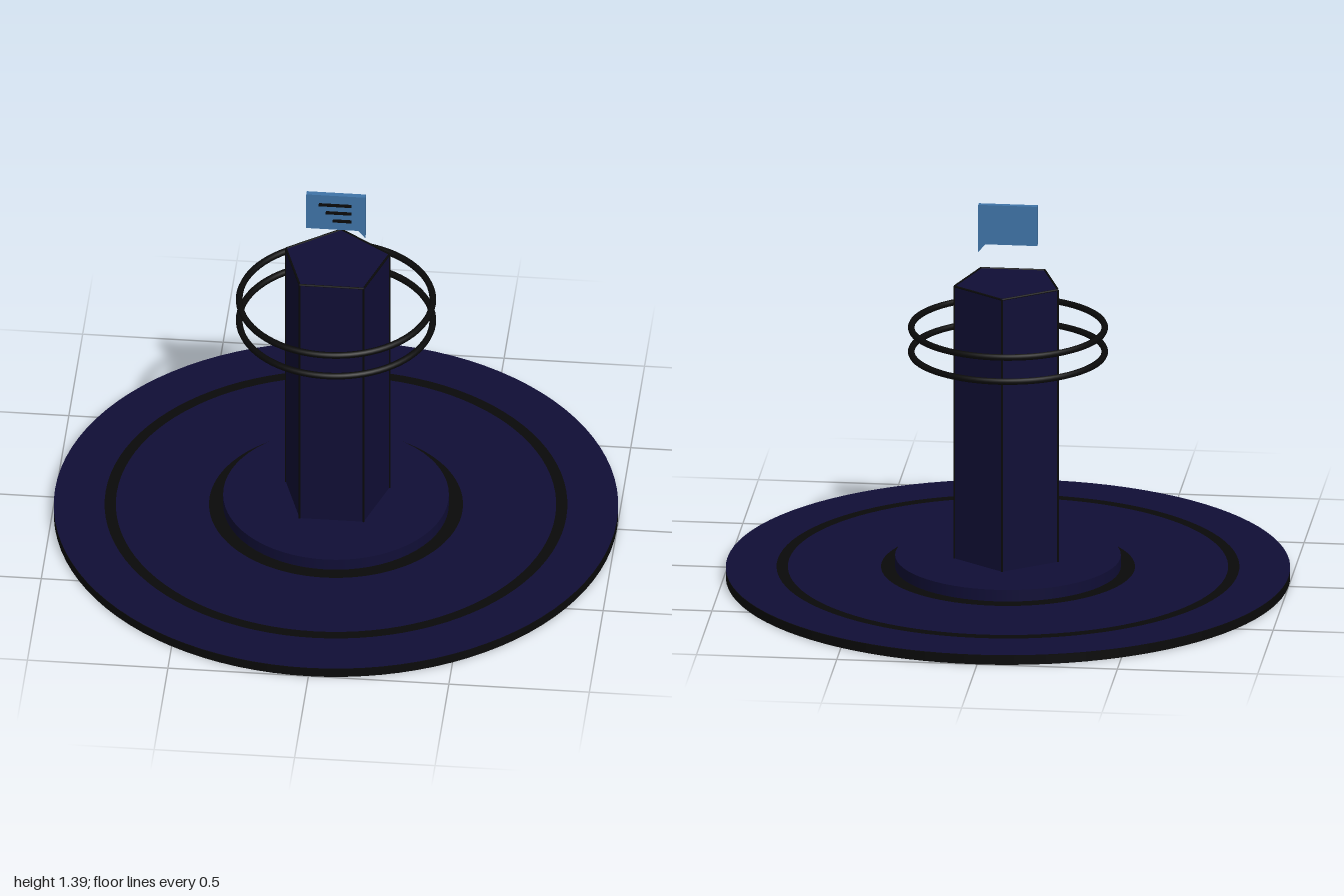
import * as THREE from 'three';

const mat = (color) => new THREE.MeshStandardMaterial({ color });
const navy = mat(0x100e36);
const black = mat(0x0a0a0a);
const blue = mat(0x3f74a8);

export function createModel() {
  const model = new THREE.Group();
  const add = (name, geometry, material, x = 0, y = 0, z = 0) => {
    const mesh = new THREE.Mesh(geometry, material);
    mesh.name = name;
    mesh.position.set(x, y, z);
    model.add(mesh);
    return mesh;
  };

  // Wide base: dark slab with a navy top surface and two inlaid bands
  add('baseSlab', new THREE.CylinderGeometry(1, 1, 0.034, 96), black, 0, 0.017);
  add('baseTop', new THREE.CircleGeometry(1, 96).rotateX(-Math.PI / 2), navy, 0, 0.036);
  for (const [name, inner, outer] of [['outerBand', 0.78, 0.82], ['innerBand', 0.39, 0.45]]) {
    add(name, new THREE.RingGeometry(inner, outer, 96).rotateX(-Math.PI / 2), black, 0, 0.039);
  }

  // Round plinth
  add('plinth', new THREE.CylinderGeometry(0.4, 0.4, 0.05, 64), navy, 0, 0.057);

  // Five-sided column with one corner to the back
  const radius = 0.194, bottom = 0.08, top = 1.096;
  const column = new THREE.CylinderGeometry(radius, radius, top - bottom, 5).rotateY(Math.PI);
  const columnMaterial = navy.clone();
  columnMaterial.flatShading = true;
  add('column', column, columnMaterial, 0, (top + bottom) / 2);

  // Thin dark trim along the column's edges
  const corner = (i, y) => {
    const a = Math.PI + (i * 2 * Math.PI) / 5;
    return new THREE.Vector3(Math.sin(a) * radius, y, Math.cos(a) * radius);
  };
  const trim = (name, a, b) => {
    const path = new THREE.LineCurve3(a, b);
    add(name, new THREE.TubeGeometry(path, 1, 0.004, 6), black);
  };
  for (let i = 0; i < 5; i++) {
    trim('verticalTrim', corner(i, bottom), corner(i, top));
    trim('topTrim', corner(i, top), corner(i + 1, top));
  }

  // Two floating rings around the column
  for (const y of [0.84, 0.93]) {
    const ring = new THREE.TorusGeometry(0.343, 0.012, 8, 80).rotateX(Math.PI / 2);
    add('floatingRing', ring, black, 0, y);
  }

  // Message bubble with a pointed tail at the lower corner
  const outline = new THREE.Shape([
    [-0.105, 1.24], [0.08, 1.24], [0.105, 1.21], [0.105, 1.386], [-0.105, 1.386],
  ].map(([x, y]) => new THREE.Vector2(x, y)));
  const bubble = new THREE.ExtrudeGeometry(outline, { depth: 0.02, bevelEnabled: false });
  add('messageBubble', bubble, blue, 0, 0, -0.01);

  // Raised bars on the front of the bubble
  for (const [left, y] of [[-0.06, 1.347], [-0.035, 1.314], [-0.01, 1.28]]) {
    const width = 0.057 - left;
    add('messageBar', new THREE.BoxGeometry(width, 0.009, 0.008), black, left + width / 2, y, 0.013);
  }

  return model;
}
